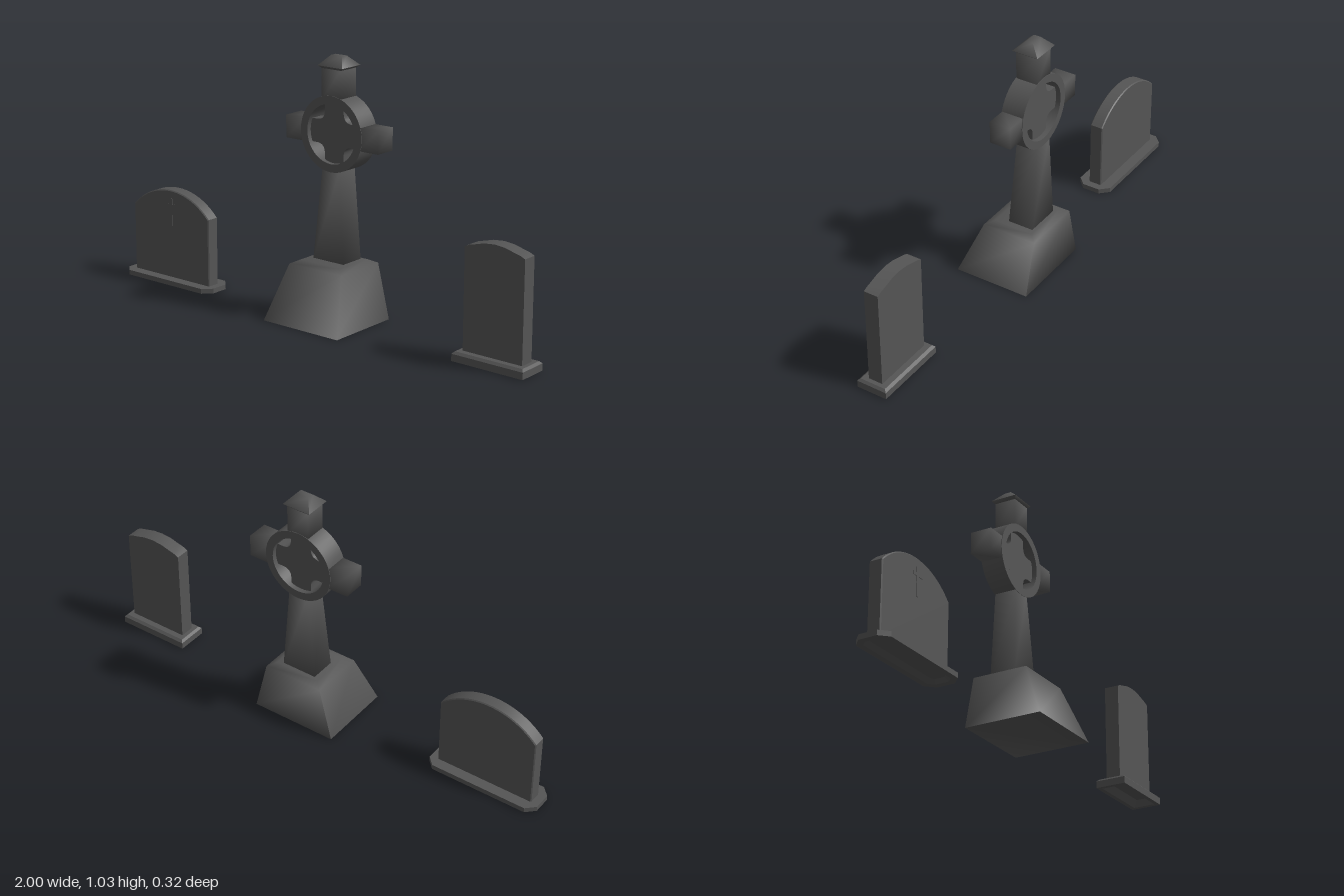
import * as THREE from 'three';
import { toCreasedNormals } from 'three/addons/utils/BufferGeometryUtils.js';

const stone = new THREE.MeshStandardMaterial({ color: 0x555555 });
const SMOOTH = 1.75; // crease angle that also softens box corners

function part(name, geometry, crease = 0.5) {
  const mesh = new THREE.Mesh(toCreasedNormals(geometry, crease), stone);
  mesh.name = name;
  return mesh;
}

// Loft through rectangular sections [y, x0, x1, z0, z1, cornerCut], bottom to top, capped
function loft(sections) {
  const rings = sections.map(([y, x0, x1, z0, z1, c]) => (c
    ? [[x1 - c, z1], [x1, z1 - c], [x1, z0 + c], [x1 - c, z0],
      [x0 + c, z0], [x0, z0 + c], [x0, z1 - c], [x0 + c, z1]]
    : [[x1, z1], [x1, z0], [x0, z0], [x0, z1]]).map(([x, z]) => [x, y, z]));
  const n = rings[0].length;
  const index = [];
  for (let r = 0; r < rings.length - 1; r++) {
    for (let i = 0; i < n; i++) {
      const a = r * n + i, b = r * n + (i + 1) % n;
      index.push(a, b, b + n, a, b + n, a + n);
    }
  }
  const top = (rings.length - 1) * n;
  for (let i = 1; i < n - 1; i++) {
    index.push(0, i + 1, i, top, top + i, top + i + 1);
  }
  const geometry = new THREE.BufferGeometry();
  geometry.setAttribute('position', new THREE.Float32BufferAttribute(rings.flat(2), 3));
  geometry.setIndex(index);
  return geometry.toNonIndexed();
}

// Extrude a front outline between two z positions, with an inward bevel
function slab(shape, z0, z1, bevel = 0, curveSegments = 12) {
  return new THREE.ExtrudeGeometry(shape, {
    depth: z1 - z0 - 2 * bevel, bevelEnabled: bevel > 0, bevelThickness: bevel,
    bevelSize: bevel, bevelOffset: -bevel, bevelSegments: 1, curveSegments,
  }).translate(0, 0, z0 + bevel);
}

function wideGravestone() {
  const group = new THREE.Group();
  group.name = 'wideGravestone';
  const cx = -0.76;
  // Plinth with cut corners, hollow underneath
  group.add(part('widePlinth', loft([
    [0.014, cx - 0.2, cx + 0.2, -0.03, 0.03, 0.012],
    [0, cx - 0.215, cx + 0.215, -0.048, 0.048, 0.02],
    [0, cx - 0.24, cx + 0.24, -0.072, 0.072, 0.035],
    [0.02, cx - 0.24, cx + 0.24, -0.072, 0.072, 0.035],
  ])));
  // Round-topped slab
  const half = 0.208, radius = 0.285, cy = 0.105;
  const angle = Math.acos(half / radius);
  const shape = new THREE.Shape();
  shape.moveTo(cx - half, 0.016);
  shape.lineTo(cx + half, 0.016);
  shape.absarc(cx, cy, radius, angle, Math.PI - angle, false);
  shape.closePath();
  group.add(part('wideSlab', slab(shape, -0.028, 0.028, 0.004)));
  // Small cross on the face
  const upright = new THREE.BoxGeometry(0.014, 0.115, 0.004).translate(cx + 0.004, 0.298, 0.028);
  const bar = new THREE.BoxGeometry(0.055, 0.014, 0.004).translate(cx + 0.004, 0.326, 0.028);
  group.add(part('faceCrossUpright', upright), part('faceCrossBar', bar));
  return group;
}

function tallGravestone() {
  const group = new THREE.Group();
  group.name = 'tallGravestone';
  const cx = 0.844;
  // Plinth with a chamfered top, hollow underneath
  group.add(part('tallPlinth', loft([
    [0.026, cx - 0.122, cx + 0.122, -0.022, 0.03],
    [0, cx - 0.137, cx + 0.137, -0.042, 0.05],
    [0, cx - 0.156, cx + 0.156, -0.06, 0.068],
    [0.028, cx - 0.156, cx + 0.156, -0.06, 0.068],
    [0.037, cx - 0.147, cx + 0.147, -0.05, 0.058],
  ])));
  // Slab with shouldered, gently arched top
  const outline = [[0.13, 0.03], [0.13, 0.435], [0.11, 0.444], [0.085, 0.45], [0.045, 0.461], [0, 0.465]];
  const points = [
    ...outline.map(([x, y]) => new THREE.Vector2(cx + x, y)),
    ...outline.slice(0, -1).reverse().map(([x, y]) => new THREE.Vector2(cx - x, y)),
  ];
  group.add(part('tallSlab', slab(new THREE.Shape(points), -0.026, 0.034)));
  return group;
}

function ringedCross() {
  const group = new THREE.Group();
  group.name = 'ringedCross';
  const cx = 0.042, cy = 0.735, back = -0.118, front = -0.028;
  // Pedestal sloping on three sides, upright at the back
  group.add(part('pedestal', loft([
    [0, cx - 0.183, cx + 0.183, -0.16, 0.16],
    [0.22, cx - 0.128, cx + 0.128, -0.16, 0.07],
    [0.235, cx - 0.098, cx + 0.098, -0.13, 0.036],
  ]), SMOOTH));
  // Tapered shaft
  group.add(part('shaft', loft([
    [0.23, cx - 0.075, cx + 0.075, back, -0.011],
    [0.605, cx - 0.042, cx + 0.042, back, front],
  ]), SMOOTH));
  // Ring around the crossing
  const ringShape = new THREE.Shape();
  ringShape.absarc(cx, cy, 0.149, 0, Math.PI * 2, false);
  const hole = new THREE.Path();
  hole.absarc(cx, cy, 0.117, 0, Math.PI * 2, true);
  ringShape.holes.push(hole);
  group.add(part('ring', slab(ringShape, back - 0.002, front + 0.002, 0, 20)));
  // Recessed crossing with rounded armpits
  const w = 0.046, reach = 0.118;
  const turn = (x, y, k) => {
    const c = [1, 0, -1, 0][k], s = [0, 1, 0, -1][k];
    return [cx + x * c - y * s, cy + x * s + y * c];
  };
  const crossing = new THREE.Shape();
  crossing.moveTo(...turn(reach, -w, 0));
  for (let k = 0; k < 4; k++) {
    crossing.lineTo(...turn(reach, w, k));
    crossing.lineTo(...turn(0.08, w, k));
    crossing.quadraticCurveTo(...turn(0.048, 0.048, k), ...turn(w, 0.08, k));
    crossing.lineTo(...turn(w, reach, k));
  }
  group.add(part('crossing', slab(crossing, back + 0.018, front - 0.018, 0, 5)));
  // Side arms
  for (const side of [-1, 1]) {
    const arm = new THREE.BoxGeometry(0.094, 0.09, front - back)
      .translate(cx + side * 0.178, cy, (front + back) / 2);
    group.add(part(side > 0 ? 'leftArm' : 'rightArm', arm, SMOOTH));
  }
  // Upper post and hipped cap
  group.add(part('upperPost', loft([
    [0.862, cx - 0.047, cx + 0.047, back, front],
    [0.99, cx - 0.047, cx + 0.047, back, front],
  ]), SMOOTH));
  group.add(part('cap', loft([
    [0.986, cx - 0.047, cx + 0.047, back, front],
    [0.996, cx - 0.06, cx + 0.06, -0.128, -0.018],
    [1.034, cx - 0.027, cx + 0.027, -0.087, -0.059],
  ]), SMOOTH));
  return group;
}

export function createModel() {
  const model = new THREE.Group();
  model.name = 'gravestones';
  model.add(wideGravestone(), ringedCross(), tallGravestone());
  return model;
}
